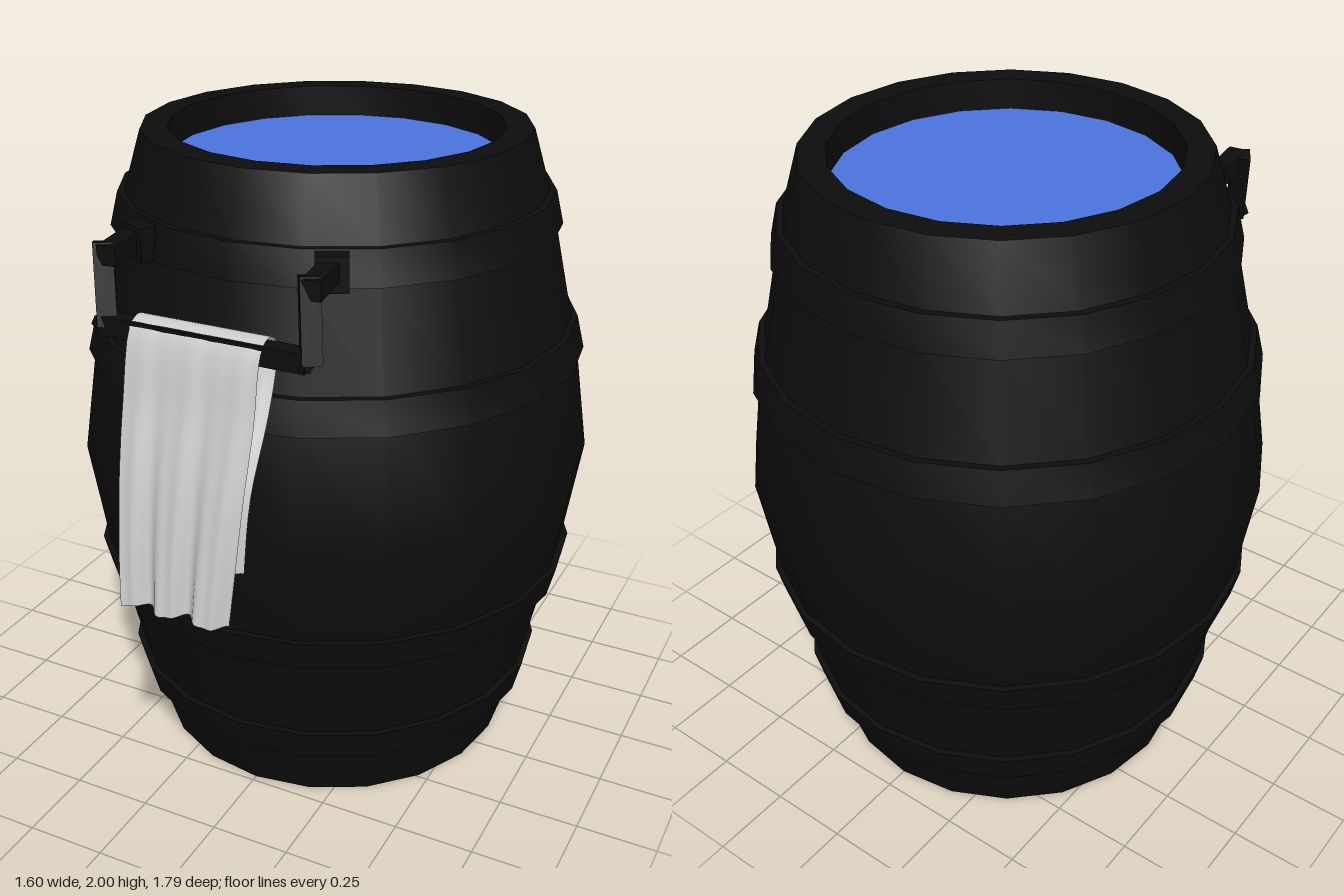
import * as THREE from 'three';
import { toCreasedNormals } from 'three/addons/utils/BufferGeometryUtils.js';
import { ParametricGeometry } from 'three/addons/geometries/ParametricGeometry.js';

const SIDES = 20;
const AXIS_Z = -0.1;

const darkMaterial = new THREE.MeshStandardMaterial({ color: 0x0d0d0d });
const waterMaterial = new THREE.MeshStandardMaterial({ color: 0x4a74dd });
const clothMaterial = new THREE.MeshStandardMaterial({ color: 0xcccccc, side: THREE.DoubleSide });

function addMesh(parent, name, geometry, material) {
  const mesh = new THREE.Mesh(geometry, material);
  mesh.name = name;
  parent.add(mesh);
  return mesh;
}

// Revolved shape with soft staves and sharp rims
function turned(points) {
  const profile = points.map(([r, y]) => new THREE.Vector2(r, y));
  return toCreasedNormals(new THREE.LatheGeometry(profile, SIDES), 0.5);
}

// Square bar between two points
function addBar(parent, name, from, to, width, depth) {
  const a = new THREE.Vector3(...from);
  const b = new THREE.Vector3(...to);
  const bar = addMesh(parent, name, new THREE.BoxGeometry(width, depth, a.distanceTo(b)), darkMaterial);
  bar.position.copy(a).add(b).multiplyScalar(0.5);
  bar.lookAt(b);
  return bar;
}

function createBarrel() {
  const barrel = new THREE.Group();
  barrel.name = 'barrel';
  barrel.position.z = AXIS_Z;

  // Half of the bulging side, mirrored about y = 1
  const lower = [[0.58, 0], [0.635, 0.18], [0.66, 0.28], [0.725, 0.57], [0.75, 0.67], [0.8, 1]];
  const upper = lower.slice(0, -1).reverse().map(([r, y]) => [r, 2 - y]);
  addMesh(barrel, 'barrelBody', turned([
    [0, 0.1], [0.5, 0.1], [0.5, 0],
    ...lower, ...upper,
    [0.5, 2], [0.5, 1.9], [0, 1.9],
  ]), darkMaterial);

  // Hoops
  const out = 0.02;
  for (const [[r0, y0], [r1, y1]] of [[lower[1], lower[2]], [lower[3], lower[4]]]) {
    addMesh(barrel, 'lowerHoop', turned([[r0, y0], [r0 + out, y0], [r1 + out, y1], [r1, y1]]), darkMaterial);
    addMesh(barrel, 'upperHoop', turned([[r1, 2 - y1], [r1 + out, 2 - y1], [r0 + out, 2 - y0], [r0, 2 - y0]]), darkMaterial);
  }

  // Water surface, just below the rim
  const water = addMesh(barrel, 'water', new THREE.CircleGeometry(0.5, SIDES), waterMaterial);
  water.rotation.x = -Math.PI / 2;
  water.position.y = 1.906;
  return barrel;
}

function createRail() {
  const rail = new THREE.Group();
  rail.name = 'towelRail';
  rail.position.x = -0.013;
  for (const side of [-1, 1]) {
    // Mounting plate turned to follow the barrel side
    const plate = addMesh(rail, 'mountingPlate', new THREE.BoxGeometry(0.09, 0.1, 0.05), darkMaterial);
    plate.position.set(side * 0.295, 1.765, 0.51);
    plate.rotation.y = side * 0.45;
    addBar(rail, 'railArm', [side * 0.305, 1.772, 0.5], [side * 0.305, 1.772, 0.68], 0.055, 0.055);
    addBar(rail, 'railDrop', [side * 0.31, 1.8, 0.645], [side * 0.31, 1.575, 0.685], 0.055, 0.055);
    addBar(rail, 'railCorner', [side * 0.324, 1.6, 0.68], [side * 0.29, 1.567, 0.685], 0.05, 0.03);
  }
  addBar(rail, 'crossbar', [-0.315, 1.583, 0.684], [0.315, 1.583, 0.684], 0.055, 0.055);
  return rail;
}

// Cloth path as (half width, y, z), from the back hem over the bar to the front hem
function createTowel() {
  const path = new THREE.CatmullRomCurve3([
    [0.2, 0.98, 0.80], [0.205, 1.2, 0.77], [0.21, 1.4, 0.685], [0.205, 1.54, 0.632],
    [0.2, 1.6, 0.63], [0.2, 1.622, 0.665], [0.2, 1.6, 0.712],
    [0.2, 1.4, 0.765], [0.19, 1.2, 0.815], [0.178, 1.0, 0.85], [0.165, 0.83, 0.872],
  ].map((p) => new THREE.Vector3(...p)));
  const point = new THREE.Vector3();
  const cloth = new ParametricGeometry((u, v, target) => {
    path.getPoint(v, point);
    const s = u * 2 - 1;
    const loose = Math.min(1, Math.max(0, Math.abs(v - 0.5) - 0.08) * 2.6);
    const fold = 0.015 * Math.sin(s * 8.5 + v * 3) + 0.008 * Math.sin(s * 17 + 1);
    const hem = 0.006 * loose * Math.sin(s * 7);
    const drift = v < 0.5 ? -0.02 - 0.015 * loose : -0.02 - 0.005 * loose;
    target.set(drift + s * point.x, point.y + hem, point.z + loose * fold);
  }, 32, 40);
  cloth.computeVertexNormals();
  const group = new THREE.Group();
  group.name = 'towel';
  addMesh(group, 'towelCloth', cloth, clothMaterial);
  return group;
}

export function createModel() {
  const model = new THREE.Group();
  model.name = 'waterBarrel';
  model.add(createBarrel(), createRail(), createTowel());
  return model;
}
